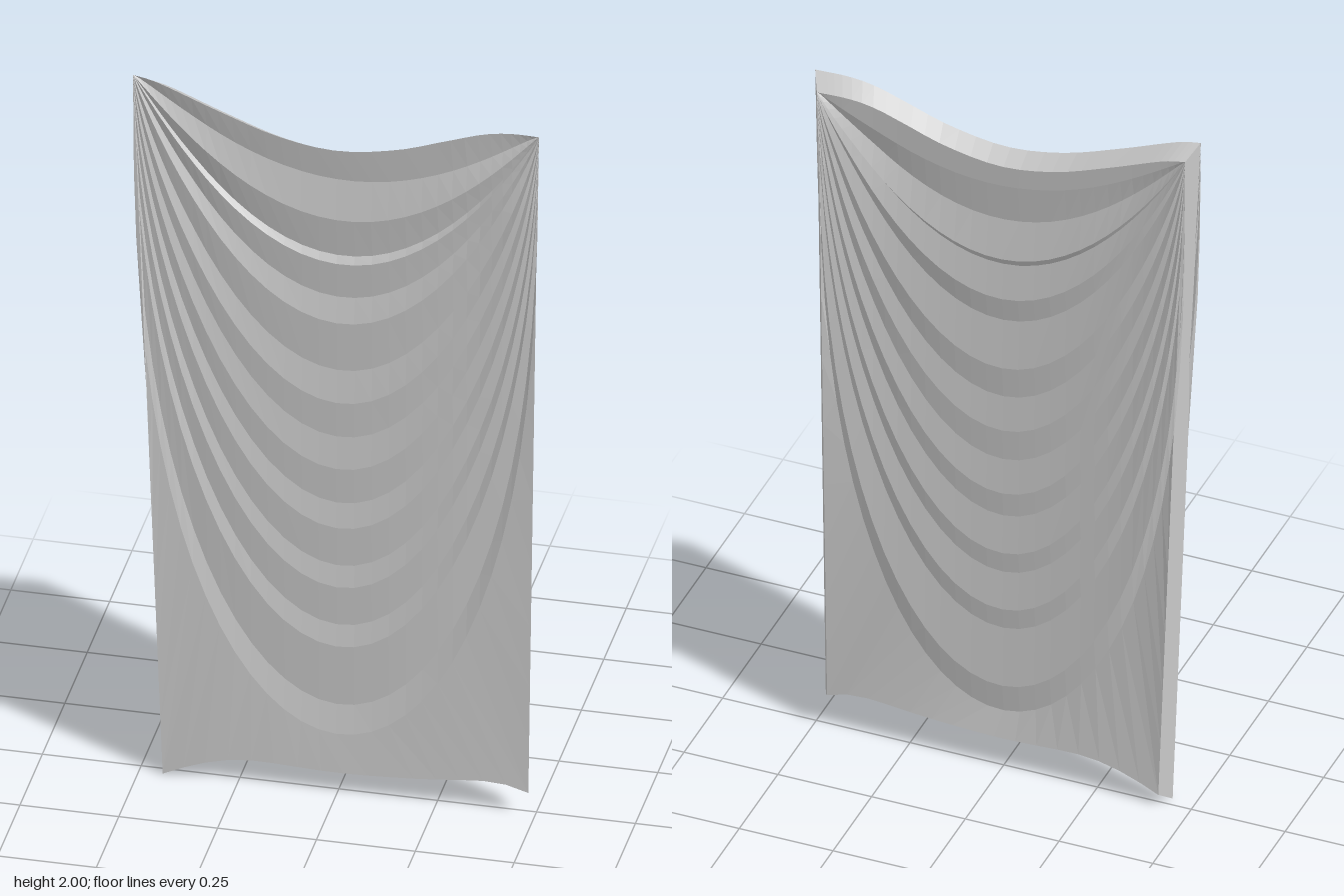
import * as THREE from 'three';

const COLS = 36, CORNER = 10, INSET = 0.965;
const spline = (pts) => new THREE.SplineCurve(pts.map(([x, y]) => new THREE.Vector2(x, y)));

const topEdge = spline([[-0.515, 2], [-0.45, 1.985], [-0.3, 1.925], [-0.15, 1.872], [0, 1.85],
  [0.15, 1.872], [0.27, 1.912], [0.36, 1.942], [0.43, 1.953], [0.51, 1.952]]);
const bottomEdge = spline([[-0.44, 0], [-0.37, 0.032], [-0.29, 0.058], [-0.2, 0.068], [0, 0.061],
  [0.2, 0.07], [0.36, 0.086], [0.43, 0.083], [0.485, 0.067]]);

// Swag folds: height at the middle, and how far the fold stands forward (0 to 1)
const folds = [[1.76, 0.2], [1.65, 0.95], [1.54, 0], [1.52, 0.6], [1.42, 0], [1.35, 0.65], [1.21, 0.1],
  [1.12, 0.6], [1.02, 0.25], [0.93, 0.6], [0.83, 0.25], [0.76, 0.6], [0.65, 0.25], [0.59, 0.6],
  [0.48, 0.25], [0.42, 0.65], [0.25, 0.2], [0.17, 0.75]];

const angle = (i) => (Math.PI * i) / COLS;

// A sagging curve hung between the two top corners, wider the lower it hangs
function foldPoint(mid, i) {
  const f = (1 - Math.cos(angle(i))) / 2;
  const drop = 1.976 - mid;
  const sag = Math.pow(Math.max(0, Math.sin(angle(i))), 2.4 - 0.9 * drop);
  return new THREE.Vector2(-0.515 + 1.025 * f, 2 - 0.048 * f - drop * sag);
}

// Left side, bottom hem and right side as one run
function outlinePoint(i) {
  const t = Math.sin(angle(i)) / Math.sin(angle(CORNER));
  if (i <= CORNER) return topEdge.getPoint(0).lerp(bottomEdge.getPoint(0), t);
  if (i >= COLS - CORNER) return topEdge.getPoint(1).lerp(bottomEdge.getPoint(1), t);
  return bottomEdge.getPointAt((i - CORNER) / (COLS - 2 * CORNER));
}

// Moves a point onto the front or the slightly smaller back of the cloth
function place(p, i, height, back) {
  const amp = 0.018 * Math.min(1, 1.4 * Math.sin(angle(i)));
  const lean = 0.008 * THREE.MathUtils.smoothstep(p.x, 0.3, 0.5) * THREE.MathUtils.smoothstep(p.y, 1.7, 1.95);
  if (back) return [p.x * 0.955, 1 + (p.y - 1) * INSET, -0.02 + amp * height - lean];
  return [p.x, p.y, 0.025 - amp * (1 - height) - lean];
}

// Rows of points, all running left to right; back folds line up with the front ones
function clothRows(back) {
  const row = (pointAt, height) =>
    Array.from({ length: COLS + 1 }, (_, i) => place(pointAt(i), i, height, back));
  const edge = back ? 0 : 1;
  const level = (mid) => (back ? 1 + (mid - 1) / INSET : mid);
  return [
    row((i) => topEdge.getPointAt((1 - Math.cos(angle(i))) / 2), edge),
    ...folds.map(([mid, h]) => row((i) => foldPoint(level(mid), i), h)),
    row(outlinePoint, edge),
  ];
}

function surface(rows, index) {
  const geo = new THREE.BufferGeometry();
  geo.setAttribute('position', new THREE.Float32BufferAttribute(rows.flat(2), 3));
  geo.setIndex(index);
  geo.computeVertexNormals();
  return geo;
}

// Skins neighbouring rows; rows that pinch together give single triangles at the ends
function skin(rows, flip, pinched) {
  const n = rows[0].length, index = [];
  const tri = (a, b, c) => index.push(...(flip ? [a, c, b] : [a, b, c]));
  for (let k = 0; k < rows.length - 1; k++) {
    for (let i = 0; i < n - 1; i++) {
      const a = k * n + i, b = a + n;
      if (!pinched || i > 0) tri(a, b, b + 1);
      if (!pinched || i < n - 2) tri(a, b + 1, a + 1);
    }
  }
  // The last column's far corners coincide, so its first triangle closes it
  return surface(rows, index);
}

export function createModel() {
  const group = new THREE.Group();
  group.name = 'drapedCloth';
  const material = new THREE.MeshStandardMaterial({ color: 0xcccccc, flatShading: true, side: THREE.DoubleSide });
  const add = (name, geo) => {
    const mesh = new THREE.Mesh(geo, material);
    mesh.name = name;
    group.add(mesh);
  };
  const front = clothRows(false), back = clothRows(true), last = front.length - 1;
  add('frontFolds', skin(front, false, true));
  add('backFolds', skin(back, true, true));
  add('topRim', skin([front[0], back[0]], true, false));
  add('sideAndHemRim', skin([front[last], back[last]], false, false));
  return group;
}
